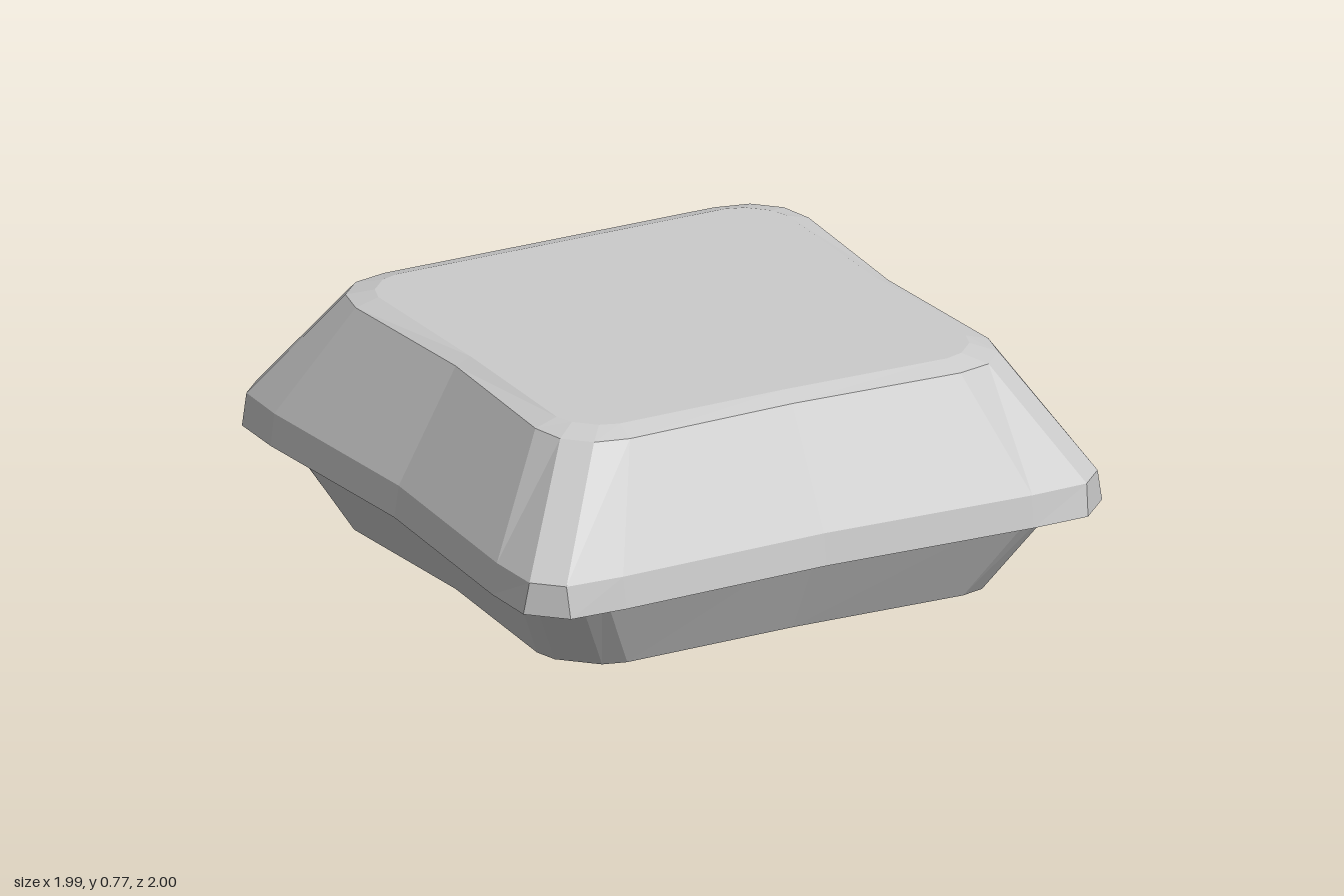
import * as THREE from 'three';

const material = new THREE.MeshStandardMaterial({
  color: 0xcccccc, flatShading: true, side: THREE.DoubleSide,
});

// Rounded square outline at height y, half size e. The corner cuts are
// c0 (soft start), c1 and c2 (chamfer); side and front pinch the middles in.
function ring({ y, e, c0 = 0, c1 = 0, c2 = 0, side = 0, front = 0 }) {
  const corner = [[e, e - c0], [e - c1, e - c2], [e - c2, e - c1], [e - c0, e]];
  const place = (sx, sz) => corner.map(([x, z]) => [sx * x, y, sz * z]);
  return [
    [e - side, y, 0], ...place(1, -1),
    [0, y, -e], ...place(-1, -1).reverse(),
    [side - e, y, 0], ...place(-1, 1),
    [0, y, e - front], ...place(1, 1).reverse(),
  ];
}

// Skin a stack of outlines, listed from bottom to top
function loft(name, rings) {
  const n = rings[0].length;
  const index = [];
  for (let r = 0; r < rings.length - 1; r++) {
    for (let i = 0; i < n; i++) {
      const a = r * n + i, b = r * n + (i + 1) % n;
      index.push(a, b, b + n, a, b + n, a + n);
    }
  }
  const geometry = new THREE.BufferGeometry();
  geometry.setAttribute('position', new THREE.Float32BufferAttribute(rings.flat(2), 3));
  geometry.setIndex(index);
  geometry.computeVertexNormals();
  const mesh = new THREE.Mesh(geometry, material);
  mesh.name = name;
  return mesh;
}

export function createModel() {
  const group = new THREE.Group();
  group.name = 'clamshellBox';

  // Tray: flat floor, small bottom bevel, flared walls reaching inside the lid
  const trayTop = ring({ y: 0.37, e: 0.965, c0: 0.2, c1: 0.015, c2: 0.12, side: 0.045, front: 0.025 })
    .map(([x, y, z]) => [x, y, z < -0.9 ? z - 0.025 : z]);
  group.add(loft('tray', [
    ring({ y: 0, e: 0 }),
    ring({ y: 0, e: 0.72, c0: 0.17, c1: 0.02, c2: 0.11, side: 0.03, front: 0.01 }),
    ring({ y: 0.02, e: 0.775, c0: 0.2, c1: 0.02, c2: 0.125, side: 0.035, front: 0.015 }),
    trayTop,
  ]));

  // Lid rim: the back edge rises to the hinge line
  const rim = ring({ y: 0.29, e: 0.995, c0: 0.3, c1: 0.005, c2: 0.11, side: 0.045, front: 0.025 })
    .map(([x, y, z]) => (z < -0.95 ? [x * 0.92, 0.37, -1] : [x, y, z]));

  // Lid: overhanging rim, sloped walls, bevelled shoulder, slightly domed top
  group.add(loft('lid', [
    rim,
    ring({ y: 0.39, e: 0.98, c0: 0.28, c1: 0.008, c2: 0.09, side: 0.045, front: 0.025 }),
    ring({ y: 0.74, e: 0.775, c0: 0.21, c1: 0.025, c2: 0.1, side: 0.035, front: 0.02 }),
    ring({ y: 0.762, e: 0.7, c0: 0.14, c1: 0.02, c2: 0.08, side: 0.01, front: 0.01 }),
    ring({ y: 0.768, e: 0 }),
  ]));

  return group;
}
